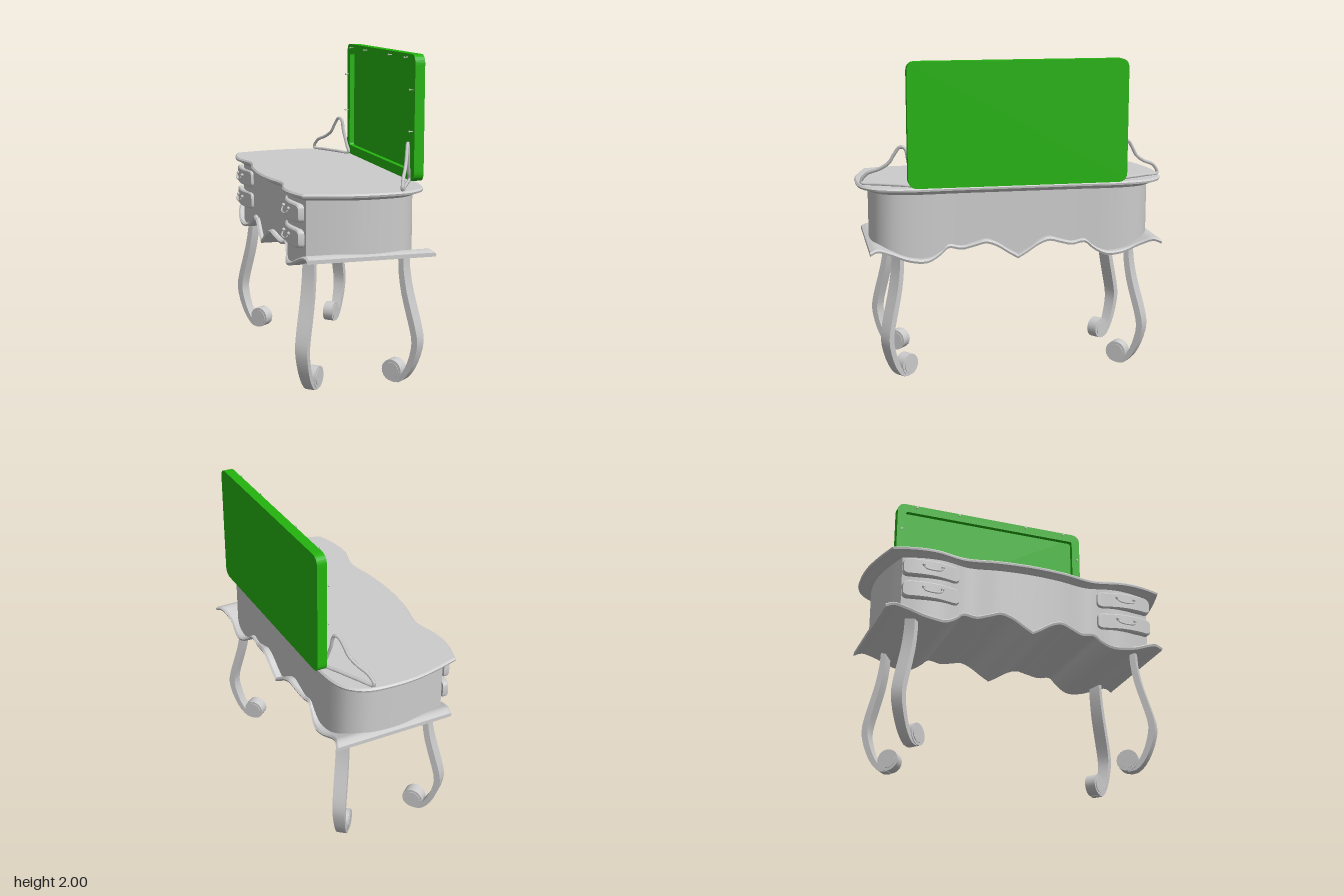
import * as THREE from 'three';
import { toCreasedNormals } from 'three/addons/utils/BufferGeometryUtils.js';

const grey = new THREE.MeshStandardMaterial({ color: 0xcccccc });
const greyThin = new THREE.MeshStandardMaterial({ color: 0xcccccc, side: THREE.DoubleSide });
const green = new THREE.MeshStandardMaterial({ color: 0x25b30f });

function add(parent, name, geometry, material = grey) {
  const mesh = new THREE.Mesh(geometry, material);
  mesh.name = name;
  parent.add(mesh);
  return mesh;
}

// Skin a list of rings (arrays of Vector3), with optional fan caps, facing outwards
function loft(rings, capped = true, crease = 0.6) {
  const n = rings[0].length, tris = [];
  for (let i = 0; i < rings.length - 1; i++) {
    for (let j = 0; j < n; j++) {
      const k = (j + 1) % n, a = rings[i], b = rings[i + 1];
      tris.push([a[j], a[k], b[k]], [a[j], b[k], b[j]]);
    }
  }
  const mid = (ring) => ring.reduce((s, p) => s.add(p), new THREE.Vector3()).divideScalar(n);
  if (capped) {
    const a = rings[0], b = rings[rings.length - 1], ca = mid(a), cb = mid(b);
    for (let j = 0; j < n; j++) {
      const k = (j + 1) % n;
      tris.push([ca, a[k], a[j]], [cb, b[j], b[k]]);
    }
  }
  const c = mid(rings.map(mid).concat(Array(Math.max(0, n - rings.length)).fill(0).map(() => mid(rings[0]))).slice(0, n));
  let volume = 0;
  for (const [p, q, r] of tris) {
    volume += p.clone().sub(c).dot(q.clone().sub(c).cross(r.clone().sub(c)));
  }
  const points = tris.flatMap(([p, q, r]) => (volume < 0 ? [p, r, q] : [p, q, r]));
  return toCreasedNormals(new THREE.BufferGeometry().setFromPoints(points), crease);
}

const V = (x, y, z) => new THREE.Vector3(x, y, z);
const spline = (pts) => new THREE.SplineCurve(pts.map(([x, y]) => new THREE.Vector2(x, y)));
const mirrored = (half) => [...half, ...half.slice(0, -1).reverse().map(([x, z]) => [x, -z])];

// Straight interpolation in a table of points sorted by x
function lookup(points, x) {
  let i = 1;
  while (i < points.length - 1 && points[i].x < x) i++;
  const a = points[i - 1], b = points[i];
  return a.y + (b.y - a.y) * THREE.MathUtils.clamp((x - a.x) / (b.x - a.x), 0, 1);
}

// Plan of the table: serpentine drawer side, bowed ends, straight mirror side
const drawerSide = spline(mirrored([[-0.38, -0.9], [-0.42, -0.76], [-0.428, -0.62], [-0.388, -0.43], [-0.425, -0.22], [-0.44, 0]]));
const mirrorSide = spline(mirrored([[-0.38, -0.9], [-0.22, -0.945], [-0.06, -0.975], [0.1, -0.978], [0.25, -0.955], [0.35, -0.88],
  [0.395, -0.77], [0.408, -0.62], [0.4, -0.4], [0.4, 0]]));
const plan = [...drawerSide.getSpacedPoints(60).slice(0, -1), ...mirrorSide.getSpacedPoints(120).reverse().slice(0, -1)];
const sideTable = drawerSide.getPoints(80).map((p) => new THREE.Vector2(p.y, p.x));
const sideX = (z) => lookup(sideTable, z);

// Scalloped lower edge as height over distance from the middle
const wave = spline([[0, 0.79], [0.06, 0.825], [0.13, 0.87], [0.2, 0.893], [0.27, 0.875], [0.35, 0.855], [0.43, 0.868],
  [0.48, 0.83], [0.54, 0.795], [0.6, 0.785], [0.7, 0.8], [0.8, 0.84], [0.87, 0.865], [0.92, 0.85]]).getPoints(52);
const waveY = (z) => lookup(wave, Math.abs(z));

function buildTable(group) {
  // Top with a moulded rim: [inset in x, inset in z, y]
  const rim = [[0.045, 0.07, 1.185], [0.03, 0.045, 1.195], [0.02, 0.03, 1.205], [0.002, 0.004, 1.21], [0, 0, 1.222], [0.01, 0.01, 1.232]];
  add(group, 'tableTop', loft(rim.map(([ix, iz, y]) =>
    plan.map((p) => V(p.x * (1 - ix / 0.42), y, p.y * (1 - iz / 0.97))))));

  // Body walls reach down to the scalloped apron
  const wall = plan.map((p) => new THREE.Vector2(p.x * 0.89, p.y * 0.915));
  add(group, 'body', loft([
    wall.map((p) => V(p.x, waveY(p.y) - 0.005, p.y)),
    wall.map((p) => V(p.x, 1.2, p.y)),
  ], false), greyThin);

  // Wavy apron sheet with flared corners
  const flare = spline([[0, 0.405], [0.2, 0.4], [0.4, 0.375], [0.6, 0.41], [0.75, 0.39], [0.84, 0.405], [0.92, 0.435]]).getPoints(40);
  const zs = [...wave.slice(1).reverse().map((p) => -p.x), ...wave.map((p) => p.x)];
  add(group, 'apron', loft(zs.map((z) => {
    const x0 = sideX(z) + 0.02, x1 = lookup(flare, Math.abs(z)), y = waveY(z);
    return [V(x0 + 0.012, y, z), V(x1 - 0.012, y, z), V(x1, y - 0.01, z), V(x1 - 0.005, y - 0.024, z),
      V(x0 + 0.005, y - 0.024, z), V(x0, y - 0.01, z)];
  })));
}

// Curved drawer fronts with rounded ends and bail handles
function buildDrawers(group) {
  for (const side of [-1, 1]) {
    for (const y of [0.955, 1.105]) {
      const drawer = new THREE.Group();
      drawer.name = 'drawer';
      const rings = [];
      for (let i = 0; i <= 20; i++) {
        const t = -Math.cos((i / 20) * Math.PI);
        const z = side * 0.645 + t * 0.18;
        const h = 0.03 + 0.025 * Math.sqrt(1 - Math.max(0, (Math.abs(t) - 0.8) / 0.2) ** 2);
        const x = sideX(z) * 0.89;
        rings.push([V(x + 0.01, y - h, z), V(x - 0.02, y - h, z), V(x - 0.027, y - h + 0.008, z),
          V(x - 0.027, y + h - 0.008, z), V(x - 0.02, y + h, z), V(x + 0.01, y + h, z)]);
      }
      add(drawer, 'drawerFront', loft(rings));
      const zc = side * 0.645, x = sideX(zc) * 0.89 - 0.03;
      const bail = [[0, 0.015, -0.06], [-0.014, -0.012, -0.05], [-0.016, -0.02, 0], [-0.014, -0.012, 0.05], [0, 0.015, 0.06]];
      add(drawer, 'handle', new THREE.TubeGeometry(new THREE.CatmullRomCurve3(
        bail.map(([dx, dy, dz]) => V(x + dx, y + dy, zc + dz))), 16, 0.005, 6));
      for (const end of [-1, 1]) {
        add(drawer, 'handleMount', new THREE.SphereGeometry(0.011, 10, 8)).position.set(x, y + 0.015, zc + end * 0.06);
      }
      group.add(drawer);
    }
  }
}

// S-curved leg lying in a diagonal plane and ending in a scroll
function buildLeg(sx, sz) {
  const leg = new THREE.Group();
  leg.name = 'leg';
  const path = spline([[0, 0.85], [0.004, 0.72], [0.028, 0.58], [0.068, 0.44], [0.1, 0.32], [0.1, 0.24], [0.07, 0.14],
    [0.03, 0.065], [-0.015, 0.022], [-0.06, 0.018]]);
  const rings = [];
  for (let i = 0; i <= 18; i++) {
    const t = i / 18, p = path.getPoint(t), d = path.getTangent(t);
    const h = 0.017 + 0.006 * Math.sin(t * Math.PI) - 0.005 * t;
    const w = 0.036 + 0.005 * Math.sin(t * Math.PI * 1.6);
    rings.push([[1, 1], [1, -1], [-1, -1], [-1, 1]].map(([a, b]) => V(p.x - d.y * h * a, p.y + d.x * h * a, b * w)));
  }
  add(leg, 'legPost', loft(rings, true, 0.25));
  const roll = new THREE.CylinderGeometry(0.068, 0.068, 0.07, 20).rotateX(Math.PI / 2);
  add(leg, 'scroll', roll).position.set(-0.06, 0.077, 0);
  const boss = new THREE.CylinderGeometry(0.052, 0.052, 0.078, 20).rotateX(Math.PI / 2);
  add(leg, 'scrollBoss', boss).position.set(-0.06, 0.077, 0);
  leg.position.set(sx * 0.295, 0, sz * 0.74);
  leg.rotation.y = -Math.atan2(sz * 0.77, sx * 0.63);
  return leg;
}

function roundedRect(path, hw, y0, y1, r) {
  path.moveTo(-hw + r, y0);
  path.lineTo(hw - r, y0).quadraticCurveTo(hw, y0, hw, y0 + r);
  path.lineTo(hw, y1 - r).quadraticCurveTo(hw, y1, hw - r, y1);
  path.lineTo(-hw + r, y1).quadraticCurveTo(-hw, y1, -hw, y1 - r);
  path.lineTo(-hw, y0 + r).quadraticCurveTo(-hw, y0, -hw + r, y0);
  return path;
}

// Upright mirror: raised frame around a recessed panel, facing -x
function buildMirror(group) {
  const slab = (shape, x, depth) => new THREE.ExtrudeGeometry(shape, { depth, bevelEnabled: false, curveSegments: 8 })
    .rotateY(Math.PI / 2).translate(x, 0, 0);
  const frame = roundedRect(new THREE.Shape(), 0.683, 1.235, 2, 0.06);
  frame.holes.push(roundedRect(new THREE.Path(), 0.625, 1.295, 1.94, 0.02));
  add(group, 'mirrorFrame', slab(frame, 0.373, 0.032), green);
  add(group, 'mirrorPanel', slab(roundedRect(new THREE.Shape(), 0.683, 1.235, 2, 0.06), 0.405, 0.03), green);
  // Small studs around the frame
  const studs = [[1.977, -0.55], [1.977, -0.24], [1.977, 0.26], [1.977, 0.55]];
  for (const y of [1.54, 1.79]) studs.push([y, -0.655], [y, 0.655]);
  for (const [y, z] of studs) {
    add(group, 'stud', new THREE.CylinderGeometry(0.003, 0.003, 0.03, 8).rotateZ(Math.PI / 2)).position.set(0.361, y, z);
    add(group, 'studHead', new THREE.CylinderGeometry(0.007, 0.007, 0.004, 10).rotateZ(Math.PI / 2)).position.set(0.349, y, z);
  }
}

// Curved wire bracket beside the mirror: [distance along its base, y]
function buildBracket(group, side) {
  const outline = [[0, 1.245], [0.1, 1.3], [0.33, 1.335], [0.5, 1.375], [0.6, 1.43], [0.7, 1.475], [0.79, 1.47],
    [0.85, 1.39], [0.95, 1.29], [1, 1.245], [0.66, 1.24], [0.33, 1.24]];
  const curve = new THREE.CatmullRomCurve3(outline.map(([t, y]) =>
    V(0.205 + 0.16 * t, y, side * (0.95 - 0.33 * t))), true);
  add(group, 'mirrorBracket', new THREE.TubeGeometry(curve, 72, 0.011, 6, true));
}

export function createModel() {
  const group = new THREE.Group();
  group.name = 'dressingTable';
  buildTable(group);
  buildDrawers(group);
  buildMirror(group);
  for (const side of [-1, 1]) {
    buildBracket(group, side);
    for (const sx of [-1, 1]) group.add(buildLeg(sx, side));
  }
  return group;
}
